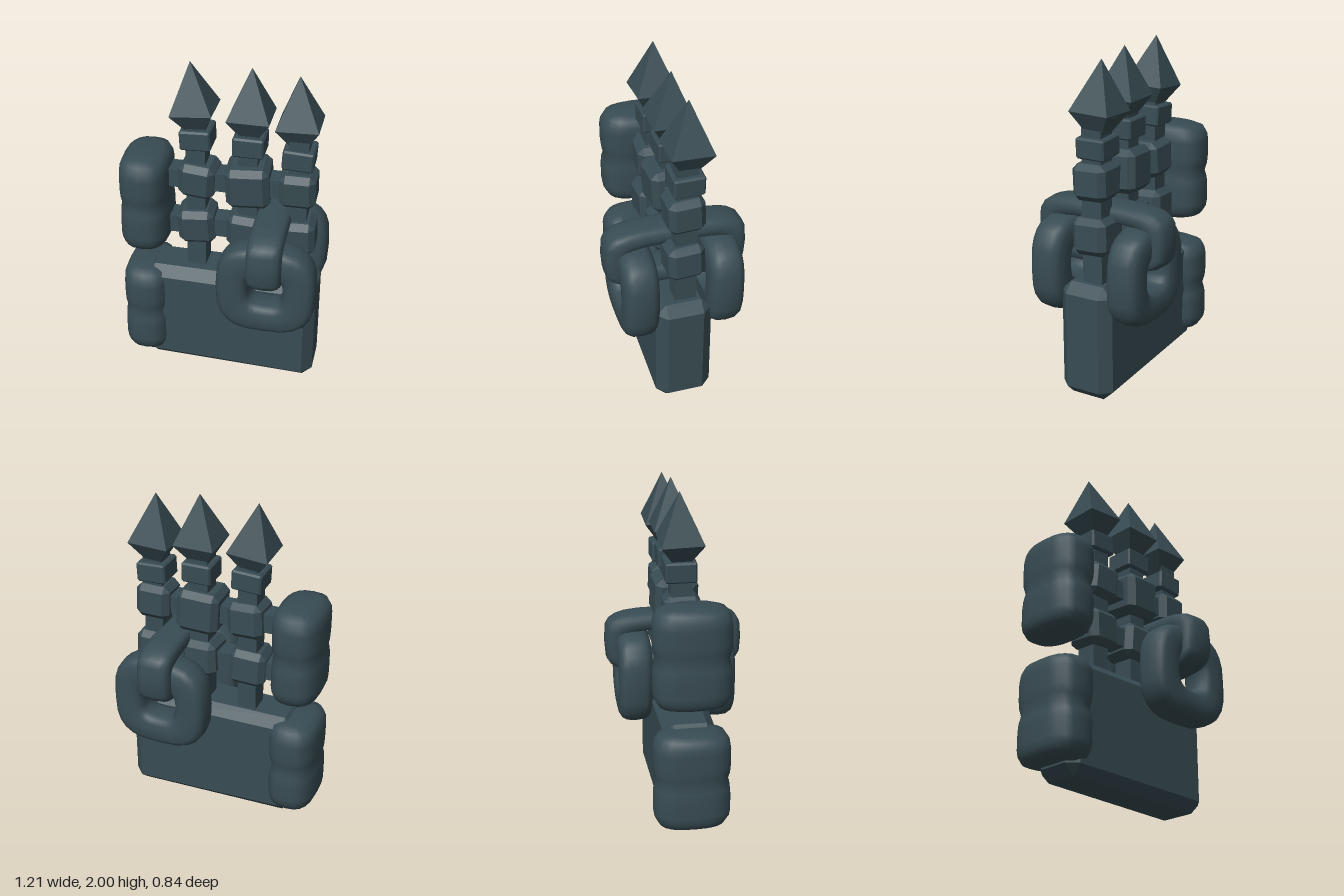
import * as THREE from 'three';
import { mergeVertices } from 'three/addons/utils/BufferGeometryUtils.js';
import { ConvexGeometry } from 'three/addons/geometries/ConvexGeometry.js';

const signs = [-1, 1];
// signed power that squares off a circle into a superellipse
const sq = (c, e) => Math.sign(c) * Math.pow(Math.abs(c), 2 / e);

// box with every edge cut off; bend may shift the corner points
function chamferBox(w, h, d, c, bend = () => {}) {
  const pts = [];
  for (const x of signs) for (const y of signs) for (const z of signs)
    for (let k = 0; k < 3; k++) {
      const p = new THREE.Vector3(
        x * (w / 2 - (k === 0 ? 0 : c)),
        y * (h / 2 - (k === 1 ? 0 : c)),
        z * (d / 2 - (k === 2 ? 0 : c)));
      bend(p);
      pts.push(p);
    }
  return new ConvexGeometry(pts);
}

// four-sided spear point, widest at y = 0
function spearPoint() {
  const pts = [new THREE.Vector3(0, 0.285, 0)];
  for (const x of signs) for (const z of signs)
    pts.push(new THREE.Vector3(x * 0.122, 0, z * 0.122), new THREE.Vector3(x * 0.05, -0.12, z * 0.05));
  return new ConvexGeometry(pts);
}

// closed chain link in the xy plane with a rounded cross-section
function chainLink(outX, outY, inX, inY, halfZ, power) {
  const N = 24, M = 16, pos = [], index = [];
  for (let i = 0; i < N; i++) {
    const t = (i / N) * Math.PI * 2;
    const cx = sq(Math.cos(t), power), cy = sq(Math.sin(t), power);
    for (let j = 0; j < M; j++) {
      const v = (j / M) * Math.PI * 2;
      const k = (1 + sq(Math.cos(v), 3)) / 2;
      pos.push(cx * (inX + (outX - inX) * k), cy * (inY + (outY - inY) * k), halfZ * sq(Math.sin(v), 3));
      const a = i * M + j, b = ((i + 1) % N) * M + j;
      const d = i * M + (j + 1) % M, e = ((i + 1) % N) * M + (j + 1) % M;
      index.push(a, b, d, b, e, d);
    }
  }
  const g = new THREE.BufferGeometry();
  g.setAttribute('position', new THREE.Float32BufferAttribute(pos, 3));
  g.setIndex(index);
  g.computeVertexNormals();
  return g;
}

// two stacked rounded knuckles, squashed into an oval
function hingeGeometry() {
  const half = [[0, 0], [0.6, 0], [0.86, 0.02], [0.97, 0.06], [1, 0.1], [1, 0.2], [0.98, 0.25], [0.92, 0.295]];
  const upper = half.slice(0, -1).reverse().map(([r, y]) => [r, 0.59 - y]);
  let g = new THREE.LatheGeometry([...half, ...upper].map(([r, y]) => new THREE.Vector2(r, y)), 20);
  const p = g.attributes.position;
  for (let i = 0; i < p.count; i++) {
    const x = p.getX(i), z = p.getZ(i), r = Math.hypot(x, z) || 1;
    p.setX(i, 0.147 * r * sq(x / r, 2.7));
    p.setZ(i, 0.225 * r * sq(z / r, 2.7));
  }
  g.deleteAttribute('uv');
  g.deleteAttribute('normal');
  g = mergeVertices(g, 1e-4);
  g.computeVertexNormals();
  return g;
}

export function createModel() {
  const model = new THREE.Group();
  model.name = 'chainedGate';
  const iron = new THREE.MeshStandardMaterial({ color: 0x384c53 });
  iron.name = 'darkIron';

  const add = (name, geometry, x, y, z, rx = 0, ry = 0, rz = 0) => {
    const m = new THREE.Mesh(geometry, iron);
    m.name = name;
    m.position.set(x, y, z);
    m.rotation.set(rx, ry, rz);
    model.add(m);
    return m;
  };

  // lower panel, a little thicker and deeper toward the free end
  add('lowerPanel', chamferBox(1.05, 0.69, 0.32, 0.06, p => {
    p.z *= 1 + 0.1 * p.x;
    if (p.y < 0) p.y -= 0.01 * (p.x / 0.5);
  }), 0.055, 0.356, 0);

  // hinges
  const hinge = hingeGeometry();
  add('lowerHinge', hinge, -0.462, 0.093, 0);
  add('upperHinge', hinge, -0.462, 0.842, 0);

  // horizontal rails
  const rail = new THREE.BoxGeometry(0.86, 0.115, 0.12);
  add('lowerRail', rail, 0.04, 0.98, -0.01, 0, 0, 0.01);
  add('upperRail', rail, 0.04, 1.29, -0.01);

  // upright bars: x, lower joint, upper joint, collar and spear point
  const bars = [
    { x: -0.16, low: [-0.16, 0.98, 0.22, 0.06], high: [-0.15, 1.29, 0.215, -0.06],
      collar: [-0.16, 1.55, 0.05], tip: [-0.175, 1.72, -0.022, 0.09] },
    { x: 0.145, low: [0.14, 0.98, 0.22, -0.04], high: [0.146, 1.292, 0.255, 0.05],
      collar: [0.147, 1.54, 0], tip: [0.15, 1.715, -0.02, 0] },
    { x: 0.435, low: [0.44, 0.98, 0.215, 0.03], high: [0.435, 1.295, 0.212, 0.01],
      collar: [0.432, 1.49, -0.05], tip: [0.425, 1.685, -0.035, 0.04] },
  ];
  const tip = spearPoint();
  for (const { x, low, high, collar, tip: t } of bars) {
    const top = t[1] - 0.08;
    add('uprightBar', new THREE.BoxGeometry(0.115, top - 0.65, 0.125), x, (top + 0.65) / 2, -0.02);
    for (const [jx, jy, size, tilt] of [low, high])
      add('barJoint', chamferBox(size, size, size, 0.035), jx, jy, -0.015, 0.04, tilt, tilt);
    add('collar', chamferBox(0.18, 0.12, 0.18, 0.01), collar[0], collar[1], -0.025, 0, 0, collar[2]);
    add('spearPoint', tip, t[0], t[1], t[2], -0.03, 0, t[3]);
  }

  // chain: one link on each face, joined by a link passing through the gate
  const sideLink = chainLink(0.296, 0.29, 0.1, 0.1, 0.104, 3);
  add('frontChainLink', sideLink, 0.306, 0.755, 0.252);
  add('backChainLink', sideLink, 0.306, 0.755, -0.252);
  add('crossChainLink', chainLink(0.422, 0.19, 0.28, 0.075, 0.103, 4), 0.304, 0.957, 0, 0, Math.PI / 2, 0);

  return model;
}
